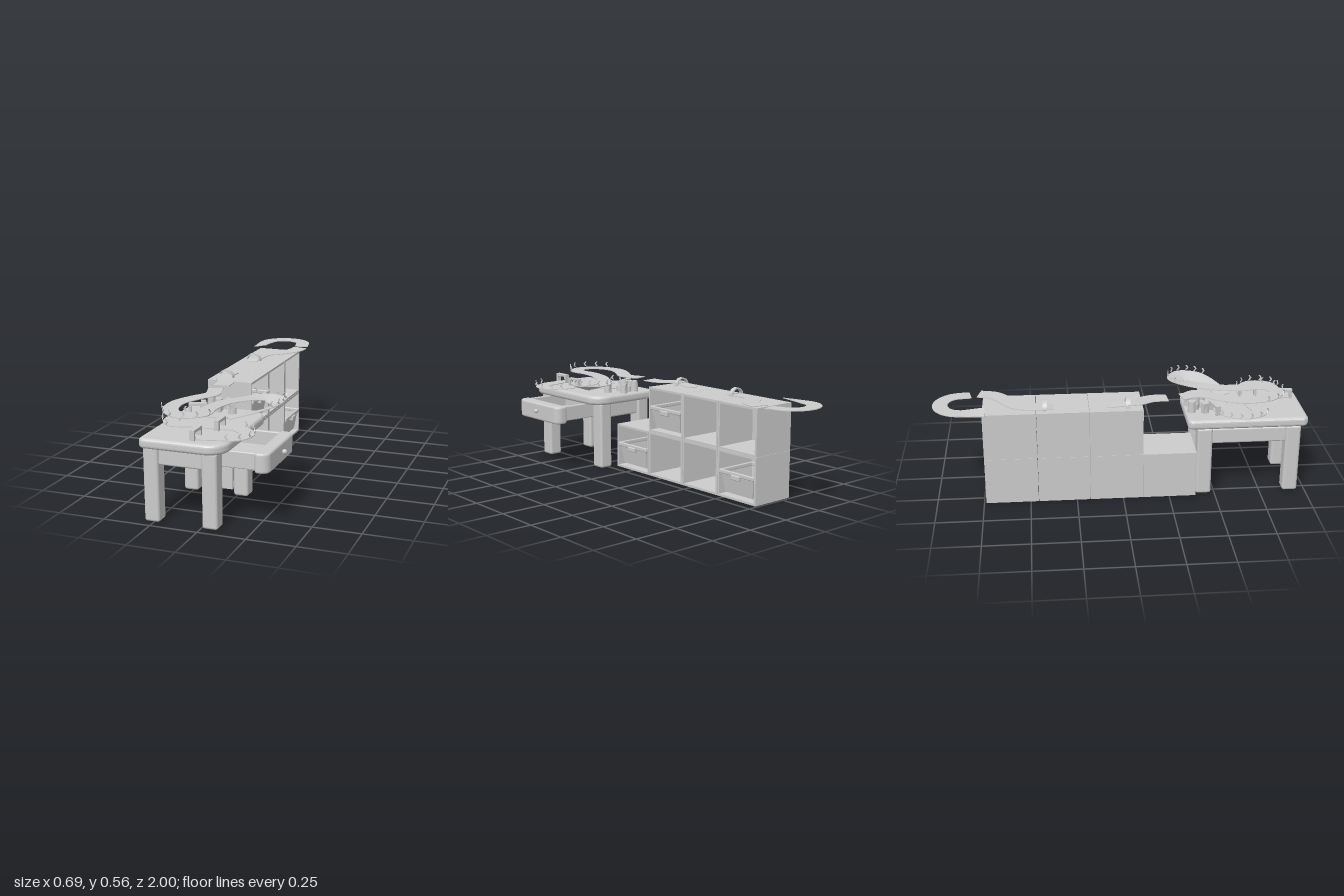
import * as THREE from 'three';
import { RoundedBoxGeometry } from 'three/addons/geometries/RoundedBoxGeometry.js';

const mat = new THREE.MeshStandardMaterial({ color: 0xcccccc, side: THREE.DoubleSide });

function add(parent, name, geometry) {
  const mesh = new THREE.Mesh(geometry, mat);
  mesh.name = name;
  parent.add(mesh);
  return mesh;
}

function group(parent, name) {
  const g = new THREE.Group();
  g.name = name;
  parent.add(g);
  return g;
}

// Box given by its limits, rounded when r > 0
function box(parent, name, [x0, x1], [y0, y1], [z0, z1], r = 0) {
  const s = [x1 - x0, y1 - y0, z1 - z0];
  const m = add(parent, name, r ? new RoundedBoxGeometry(...s, 3, r) : new THREE.BoxGeometry(...s));
  m.position.set((x0 + x1) / 2, (y0 + y1) / 2, (z0 + z1) / 2);
  return m;
}

// Horizontal slab with softened rim; rl and rr are the corner radii on -x and +x
function slab(parent, name, [x0, x1], [y0, y1], [z0, z1], rl, rr, b) {
  const [l, r, d, u] = [x0 + b, x1 - b, -z1 + b, -z0 - b];
  const s = new THREE.Shape();
  s.moveTo(l + rl, d);
  s.lineTo(r - rr, d);
  s.absarc(r - rr, d + rr, rr, -Math.PI / 2, 0);
  s.absarc(r - rr, u - rr, rr, 0, Math.PI / 2);
  s.absarc(l + rl, u - rl, rl, Math.PI / 2, Math.PI);
  s.absarc(l + rl, d + rl, rl, Math.PI, Math.PI * 1.5);
  const g = new THREE.ExtrudeGeometry(s, {
    depth: y1 - y0 - 2 * b, bevelSize: b, bevelThickness: b, bevelSegments: 4, curveSegments: 8,
  });
  add(parent, name, g.rotateX(-Math.PI / 2).translate(0, y0 + b, 0));
}

// One open-fronted storage cube facing +x
function cubby(parent, z0, z1, y0) {
  const g = group(parent, 'shelfCube'), y1 = y0 + 0.257, t = 0.012;
  const X = [-0.31, -0.055];
  box(g, 'shelfBottom', X, [y0, y0 + t], [z0, z1]);
  box(g, 'shelfTop', X, [y1 - t, y1], [z0, z1]);
  box(g, 'shelfSide', X, [y0 + t, y1 - t], [z0, z0 + t]);
  box(g, 'shelfSide', X, [y0 + t, y1 - t], [z1 - t, z1]);
  box(g, 'shelfBack', [-0.31, -0.302], [y0 + t, y1 - t], [z0 + t, z1 - t]);
}

// Open tapered bin with a rim and pull tab
function bin(parent, zc, y0) {
  const g = group(parent, 'storageBin');
  g.position.set(-0.175, y0, zc);
  const tub = new THREE.CylinderGeometry(Math.SQRT1_2, Math.SQRT1_2 * 0.85, 0.115, 4, 1, true)
    .rotateY(Math.PI / 4).toNonIndexed();
  tub.scale(0.235, 1, 0.235).computeVertexNormals();
  add(g, 'binBody', tub.translate(0, 0.072, 0));
  box(g, 'binFloor', [-0.1, 0.1], [0.015, 0.02], [-0.1, 0.1]);
  for (const s of [-1, 1]) {
    const e = [s * 0.12 - 0.007, s * 0.12 + 0.007];
    box(g, 'binRim', e, [0.118, 0.14], [-0.127, 0.127], 0.005);
    box(g, 'binRim', [-0.122, 0.122], [0.118, 0.14], e, 0.005);
  }
  box(g, 'binHandle', [0.112, 0.136], [0.1, 0.127], [-0.03, 0.03], 0.005);
}

const curveOf = (pts) => new THREE.CatmullRomCurve3(pts.map((p) => new THREE.Vector3(p[0], p[1], p[2])));

// Flat road swept along a curve; an optional fourth value per point raises the left edge
function road(parent, name, pts, width = 0.08) {
  const curve = curveOf(pts), N = pts.length * 8, h = 0.004, pos = [], idx = [];
  const banks = pts.map((p) => p[3] || 0);
  const rings = [];
  for (let i = 0; i <= N; i++) {
    const t = i / N, c = curve.getPoint(t), d = curve.getTangent(t);
    const f = t * (pts.length - 1), k = Math.min(Math.floor(f), pts.length - 2);
    const bank = THREE.MathUtils.lerp(banks[k], banks[k + 1], f - k);
    const side = new THREE.Vector3(-d.z, 0, d.x).normalize().multiplyScalar(width / 2);
    side.y = -bank;
    const l = c.clone().sub(side), r = c.clone().add(side);
    const down = new THREE.Vector3(0, -h, 0);
    rings.push([l, r, r.clone().add(down), l.clone().add(down)]);
  }
  for (let s = 0; s < 4; s++) {
    rings.forEach((ring, i) => {
      const n = pos.length / 3;
      pos.push(...ring[s].toArray(), ...ring[(s + 1) % 4].toArray());
      if (i < N) idx.push(n, n + 1, n + 2, n + 1, n + 3, n + 2);
    });
  }
  for (const [i, a, b] of [[0, 1, 2], [N, 2, 1]]) {
    const n = pos.length / 3;
    rings[i].forEach((v) => pos.push(...v.toArray()));
    idx.push(n, n + a, n + b, n, n + (a === 1 ? 2 : 3), n + (a === 1 ? 3 : 2));
  }
  const g = new THREE.BufferGeometry();
  g.setAttribute('position', new THREE.Float32BufferAttribute(pos, 3));
  g.setIndex(idx);
  g.computeVertexNormals();
  add(parent, name, g);
}

// Arrow signs along a road edge, between two control points; side +1 is right of travel
function chevrons(parent, pts, from, to, count, side) {
  const s = new THREE.Shape();
  [[-0.009, 0], [0, 0], [0.01, 0.014], [0, 0.028], [-0.009, 0.028], [0.001, 0.014]]
    .forEach(([x, y], i) => (i ? s.lineTo(x, y) : s.moveTo(x, y)));
  const geo = new THREE.ExtrudeGeometry(s, { depth: 0.004, bevelEnabled: false });
  const curve = curveOf(pts);
  for (let i = 0; i < count; i++) {
    const t = (from + ((to - from) * i) / (count - 1)) / (pts.length - 1);
    const p = curve.getPoint(t), d = curve.getTangent(t), o = side * 0.042 / Math.hypot(d.x, d.z);
    const m = add(parent, 'chevronSign', geo);
    const k = t * (pts.length - 1), bank = pts[Math.round(k)][3] || 0;
    m.position.set(p.x - d.z * o, p.y + 0.004 - side * bank, p.z + d.x * o);
    m.rotation.y = Math.atan2(-d.z, d.x);
  }
}

// Square gate over the road
function gate(parent, x, z, turn) {
  const s = new THREE.Shape();
  s.moveTo(-0.048, 0); s.lineTo(-0.048, 0.052); s.lineTo(0.048, 0.052); s.lineTo(0.048, 0);
  s.lineTo(0.034, 0); s.lineTo(0.034, 0.028); s.quadraticCurveTo(0.034, 0.038, 0.024, 0.038);
  s.lineTo(-0.024, 0.038); s.quadraticCurveTo(-0.034, 0.038, -0.034, 0.028); s.lineTo(-0.034, 0);
  const g = new THREE.ExtrudeGeometry(s, { depth: 0.025, bevelEnabled: false }).translate(0, 0, -0.0125);
  const m = add(parent, 'trackGate', g);
  m.position.set(x, 0.442, z);
  m.rotation.y = turn;
}

// Half-round hoop over the road
function hoop(parent, x, z) {
  const s = new THREE.Shape();
  s.absarc(0, 0, 0.044, 0, Math.PI, false);
  s.absarc(0, 0, 0.037, Math.PI, 0, true);
  const g = new THREE.ExtrudeGeometry(s, { depth: 0.024, bevelEnabled: false, curveSegments: 16 });
  add(parent, 'launchHoop', g).position.set(x, 0.515, z - 0.012);
}

export function createModel() {
  const model = new THREE.Group();

  // Storage shelf: four cubes below, three above, three bins
  const shelf = group(model, 'shelf');
  const edges = [0.395, 0.107, -0.178, -0.457, -0.74];
  for (let i = 0; i < 4; i++) {
    cubby(shelf, edges[i + 1] + 0.001, edges[i] - 0.001, 0);
    if (i) cubby(shelf, edges[i + 1] + 0.001, edges[i] - 0.001, 0.258);
  }
  bin(shelf, 0.251, 0.012);
  bin(shelf, -0.6, 0.012);
  bin(shelf, -0.035, 0.27);

  // Table
  const table = group(model, 'table');
  slab(table, 'tableTop', [-0.307, 0.135], [0.387, 0.44], [0.345, 0.995], 0.015, 0.085, 0.018);
  for (const [x, z] of [[-0.298, 0.875], [0.008, 0.875], [-0.298, 0.397], [-0.017, 0.397]])
    box(table, 'tableLeg', [x, x + 0.08], [0.002, 0.39], [z, z + 0.083], 0.014);
  box(table, 'frontApron', [-0.222, 0.01], [0.297, 0.384], [0.885, 0.945], 0.01);
  box(table, 'backApron', [-0.222, -0.015], [0.297, 0.384], [0.41, 0.47], 0.01);
  box(table, 'sideApron', [-0.288, -0.228], [0.297, 0.384], [0.475, 0.88], 0.01);

  // Pulled-out drawer
  const drawer = group(model, 'drawer');
  slab(drawer, 'drawerFront', [0.245, 0.317], [0.284, 0.386], [0.478, 0.873], 0.004, 0.03, 0.012);
  box(drawer, 'drawerFloor', [-0.02, 0.25], [0.297, 0.309], [0.495, 0.86]);
  box(drawer, 'drawerBack', [-0.02, -0.005], [0.305, 0.38], [0.495, 0.86]);
  for (const z of [0.49, 0.843]) box(drawer, 'drawerSide', [-0.02, 0.25], [0.297, 0.383], [z, z + 0.02], 0.006);
  const knob = add(drawer, 'drawerKnob', new THREE.SphereGeometry(0.013, 20, 12));
  knob.position.set(0.33, 0.341, 0.67);
  const stem = add(drawer, 'knobStem', new THREE.CylinderGeometry(0.004, 0.004, 0.016, 10).rotateZ(Math.PI / 2));
  stem.position.set(0.318, 0.341, 0.67);

  // Road pieces on top of the shelf
  const track = group(model, 'track');
  const turn = [[-0.305, 0.535, -0.72, -0.008]];
  for (let i = 0; i <= 8; i++) {
    const a = Math.PI * (1 + i / 8);
    turn.push([-0.19 + 0.117 * Math.cos(a), 0.532, -0.845 + 0.115 * Math.sin(a)]);
  }
  turn.push([-0.065, 0.53, -0.805]);
  road(track, 'turnRoad', turn);
  road(track, 'upperRoad', [[-0.055, 0.532, -0.76], [-0.075, 0.53, -0.68], [-0.145, 0.526, -0.61],
    [-0.215, 0.525, -0.55], [-0.235, 0.523, -0.4]], 0.088);
  road(track, 'ramp', [[-0.232, 0.527, -0.41], [-0.232, 0.518, -0.365]], 0.065);
  road(track, 'middleRoad', [[-0.235, 0.533, 0.02], [-0.225, 0.531, 0.08], [-0.182, 0.528, 0.16], [-0.175, 0.527, 0.245]], 0.088);
  road(track, 'ramp', [[-0.232, 0.518, -0.08], [-0.232, 0.527, 0.03]], 0.065);
  hoop(track, -0.233, -0.41);
  hoop(track, -0.233, 0.028);

  // Table circuit: raised part winds round and drops to the lower part
  const high = [[-0.175, 0.531, 0.32], [-0.15, 0.53, 0.43], [-0.205, 0.53, 0.53], [-0.25, 0.53, 0.65],
    [-0.225, 0.529, 0.78], [-0.14, 0.527, 0.845], [-0.06, 0.526, 0.79], [-0.065, 0.524, 0.66], [-0.04, 0.521, 0.53],
    [0.03, 0.515, 0.41], [0.115, 0.508, 0.322, 0.01], [0.19, 0.502, 0.365, 0.016], [0.18, 0.495, 0.455, 0.014],
    [0.1, 0.478, 0.53, 0.006], [0.0, 0.458, 0.58]];
  const low = [[0.0, 0.458, 0.58], [-0.12, 0.449, 0.535], [-0.22, 0.448, 0.56], [-0.272, 0.448, 0.65],
    [-0.23, 0.448, 0.74], [-0.12, 0.448, 0.72], [0.0, 0.448, 0.715], [0.1, 0.448, 0.71], [0.172, 0.448, 0.77],
    [0.155, 0.448, 0.855], [0.06, 0.448, 0.885], [-0.045, 0.448, 0.91]];
  road(track, 'raisedRoad', high);
  road(track, 'lowerRoad', low);
  chevrons(track, high, 3.8, 6.1, 6, 1);
  chevrons(track, high, 9.6, 12.2, 8, -1);
  chevrons(track, low, 2.1, 4, 6, 1);
  chevrons(track, low, 7.2, 9.5, 6, -1);

  // Gates and the pillars carrying the raised road
  gate(track, -0.035, 0.91, Math.PI / 2);
  gate(track, 0.012, 0.72, Math.PI / 2);
  gate(track, -0.2, 0.5, 0.3);
  for (const [x, z] of [[-0.185, 0.45], [-0.085, 0.37], [-0.03, 0.45], [-0.14, 0.4], [-0.115, 0.44]])
    add(track, 'pillar', new THREE.CylinderGeometry(0.02, 0.022, 0.032, 16)).position.set(x, 0.456, z);
  for (const [x, z] of [[-0.175, 0.38], [-0.12, 0.41]])
    add(track, 'pillarCap', new THREE.CylinderGeometry(0.02, 0.022, 0.062, 16)).position.set(x, 0.471, z);
  for (const [x, z] of [[-0.085, 0.37], [-0.03, 0.45], [-0.19, 0.45]])
    box(track, 'supportPost', [x - 0.013, x + 0.013], [0.44, 0.494], [z - 0.018, z + 0.018]).rotation.y = 0.5;

  return model;
}
